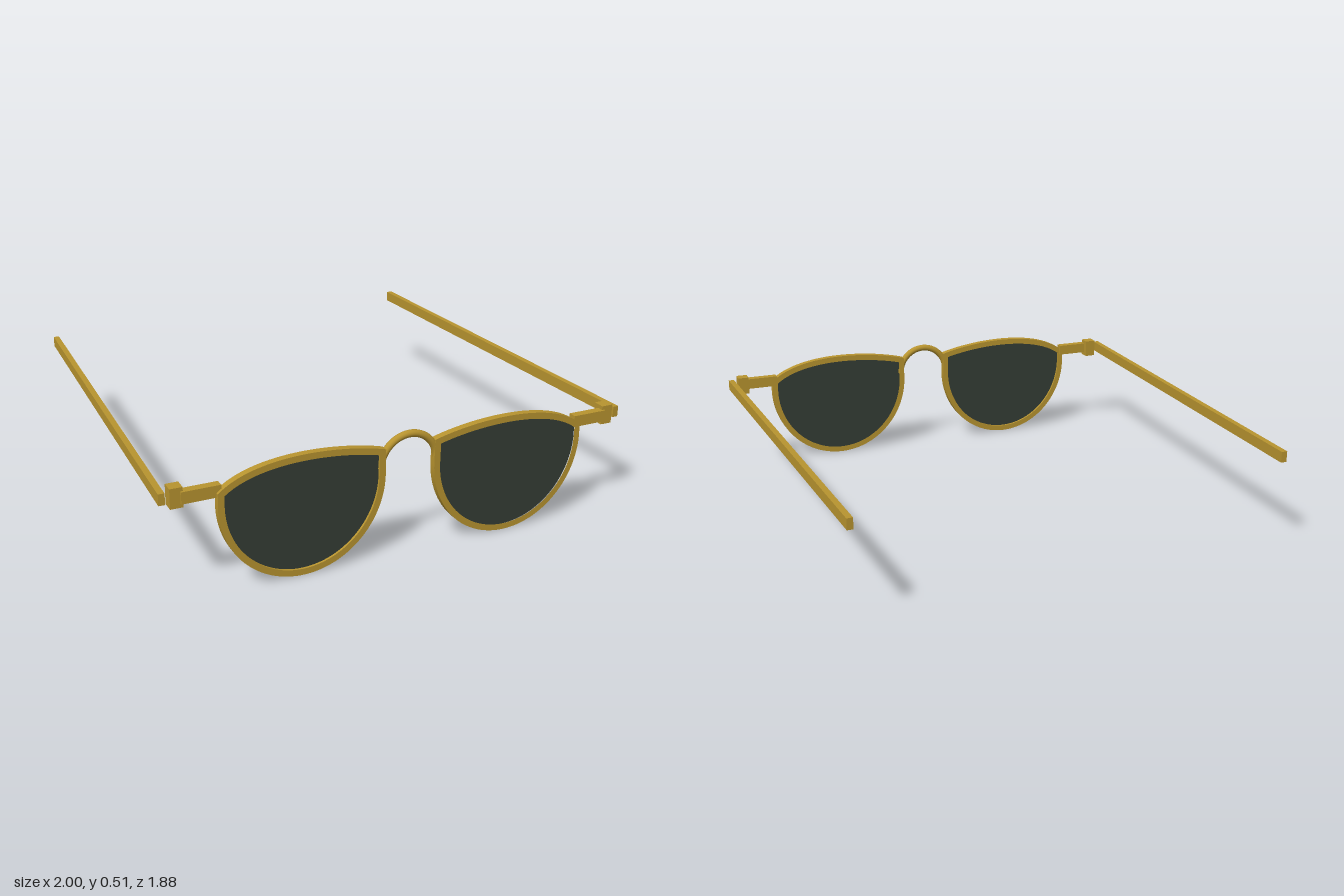
import * as THREE from 'three';
import { toCreasedNormals } from 'three/addons/utils/BufferGeometryUtils.js';

const gold = new THREE.MeshStandardMaterial({ color: 0xb8942f });
const tint = new THREE.MeshStandardMaterial({ color: 0x343d35 });

// Half-moon outline of one eye on the +x side, running clockwise
function eyeOutline() {
  const path = new THREE.Path();
  path.moveTo(0.107, 0.46);
  path.bezierCurveTo(0.3, 0.515, 0.64, 0.535, 0.785, 0.41);
  path.absellipse(0.446, 0.357, 0.34, 0.355, 0, -Math.PI, true);
  return path.getPoints(40);
}

// Moves every point of a clockwise outline inward by d
function inset(points, d) {
  const n = points.length;
  const normal = (a, b) => new THREE.Vector2(b.y - a.y, a.x - b.x).normalize();
  return points.map((p, i) => {
    const n1 = normal(points[(i + n - 1) % n], p);
    const n2 = normal(p, points[(i + 1) % n]);
    const k = d / (1 + n1.dot(n2));
    return p.clone().add(n1.add(n2).multiplyScalar(k));
  });
}

const mirrored = (points, side) => points.map((p) => new THREE.Vector2(p.x * side, p.y));

// Flat plate from z0 to z1, smooth around its curved edge
function plate(name, shape, z0, z1, material) {
  const geo = new THREE.ExtrudeGeometry(shape, { depth: z1 - z0, bevelEnabled: false });
  geo.translate(0, 0, z0);
  const mesh = new THREE.Mesh(toCreasedNormals(geo, 0.5), material);
  mesh.name = name;
  return mesh;
}

function box(name, size, position) {
  const mesh = new THREE.Mesh(new THREE.BoxGeometry(...size), gold);
  mesh.name = name;
  mesh.position.set(...position);
  return mesh;
}

export function createModel() {
  const model = new THREE.Group();
  model.name = 'glasses';
  const outline = eyeOutline();

  for (const side of [1, -1]) {
    const half = new THREE.Group();
    half.name = side > 0 ? 'leftHalf' : 'rightHalf';

    // Rim with its opening, and the tinted lens held in it
    const rim = new THREE.Shape(mirrored(outline, side));
    rim.holes.push(new THREE.Path(mirrored(inset(outline, 0.026), side)));
    half.add(plate('rim', rim, 0.91, 0.94, gold));
    const lens = new THREE.Shape(mirrored(inset(outline, 0.02), side));
    half.add(plate('lens', lens, 0.92, 0.93, tint));

    // End piece and hinge block
    half.add(box('endPiece', [0.152, 0.048, 0.035], [side * 0.842, 0.416, 0.911]));
    half.add(box('hinge', [0.05, 0.08, 0.05], [side * 0.933, 0.416, 0.895]));

    // Straight temple arm, leaning slightly inward to the back
    const temple = box('temple', [0.025, 0.046, 1.853], [side * 0.948, 0.417, -0.015]);
    temple.rotation.y = side * Math.atan2(0.074, 1.85);
    half.add(temple);
    model.add(half);
  }

  // Arched bridge between the rims
  const bridge = new THREE.Mesh(new THREE.TorusGeometry(0.12, 0.015, 16, 40, Math.PI), gold);
  bridge.name = 'bridge';
  bridge.position.set(0, 0.38, 0.925);
  model.add(bridge);
  for (const side of [1, -1]) {
    const cap = new THREE.Mesh(new THREE.CircleGeometry(0.015, 16), gold);
    cap.name = 'bridgeEnd';
    cap.rotation.x = Math.PI / 2;
    cap.position.set(side * 0.12, 0.38, 0.925);
    model.add(cap);
  }
  return model;
}
